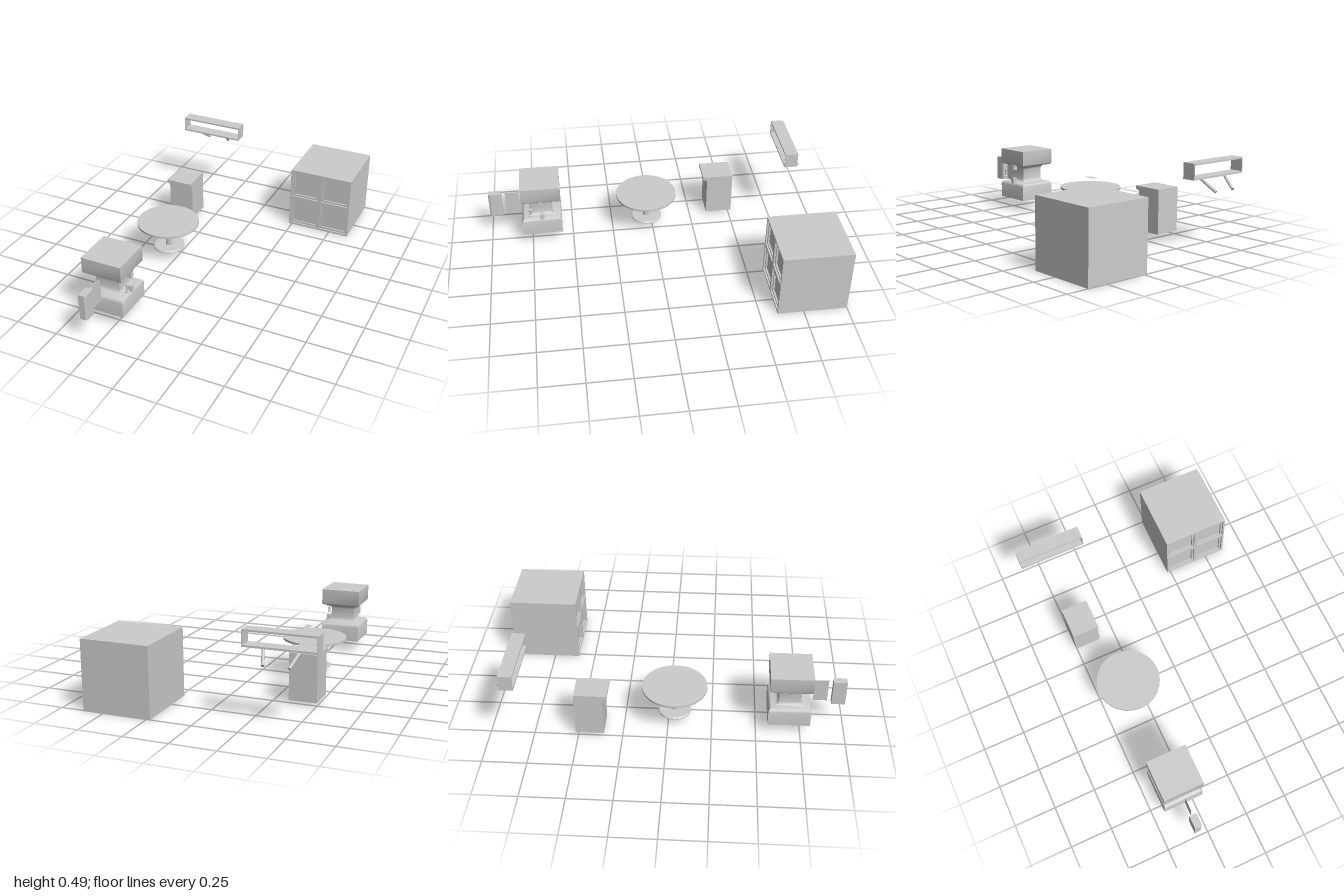
import * as THREE from 'three';
import { toCreasedNormals } from 'three/addons/utils/BufferGeometryUtils.js';

const flat = new THREE.MeshStandardMaterial({ color: 0xcccccc });
const thin = new THREE.MeshStandardMaterial({ color: 0xcccccc, side: THREE.DoubleSide });

function add(parent, name, geometry, x = 0, y = 0, z = 0, material = flat) {
  const mesh = new THREE.Mesh(geometry, material);
  mesh.name = name;
  mesh.position.set(x, y, z);
  parent.add(mesh);
  return mesh;
}

// Box given by its limits on each axis
function box(parent, name, x0, x1, y0, y1, z0, z1) {
  return add(parent, name, new THREE.BoxGeometry(x1 - x0, y1 - y0, z1 - z0),
    (x0 + x1) / 2, (y0 + y1) / 2, (z0 + z1) / 2);
}

function group(parent, name) {
  const g = new THREE.Group();
  g.name = name;
  parent.add(g);
  return g;
}

function rect(Type, cx, cy, w, h) {
  const [a, b] = [w / 2, h / 2];
  return new Type([[-a, -b], [a, -b], [a, b], [-a, b]].map(([x, y]) => new THREE.Vector2(cx + x, cy + y)));
}

function extrude(shape, depth) {
  return new THREE.ExtrudeGeometry(shape, { depth, bevelEnabled: false });
}

// Round profile of [radius, y] pairs
function turned(points, sides) {
  const g = new THREE.LatheGeometry(points.map(([r, y]) => new THREE.Vector2(r, y)), sides);
  return toCreasedNormals(g, 0.6);
}

// Rectangular sections [y, halfX, halfZ] joined from bottom to top
function loft(sections) {
  const pos = [];
  const rings = sections.map(([y, a, b]) => [[a, y, b], [a, y, -b], [-a, y, -b], [-a, y, b]]);
  const quad = (a, b, c, d) => pos.push(...a, ...b, ...c, ...a, ...c, ...d);
  for (let i = 0; i < rings.length - 1; i++) {
    const [lo, hi] = [rings[i], rings[i + 1]];
    for (let k = 0; k < 4; k++) {
      const n = (k + 1) % 4;
      quad(lo[k], lo[n], hi[n], hi[k]);
    }
  }
  quad(...rings[rings.length - 1]);
  quad(...[...rings[0]].reverse());
  const g = new THREE.BufferGeometry();
  g.setAttribute('position', new THREE.Float32BufferAttribute(pos, 3));
  g.computeVertexNormals();
  return toCreasedNormals(g, 0.75);
}

function strut(parent, name, from, to, radius) {
  const a = new THREE.Vector3(...from), b = new THREE.Vector3(...to);
  const mid = a.clone().add(b).multiplyScalar(0.5);
  const mesh = add(parent, name, new THREE.CylinderGeometry(radius, radius, a.distanceTo(b), 8), mid.x, mid.y, mid.z);
  mesh.quaternion.setFromUnitVectors(new THREE.Vector3(0, 1, 0), b.sub(a).normalize());
}

function buildCabinet(root) {
  const g = group(root, 'cabinet');
  box(g, 'cabinetBody', 0.23, 0.62, 0, 0.39, -1, -0.62);
  // Two stepped frames give each of the four panels a double rim
  [['innerPanelRim', 0.15, -0.62], ['cabinetFrontFrame', 0.173, -0.61]].forEach(([name, size, z]) => {
    const shape = rect(THREE.Shape, 0.425, 0.195, 0.39, 0.39);
    for (const sx of [-1, 1]) for (const sy of [-1, 1]) {
      shape.holes.push(rect(THREE.Path, 0.425 + sx * 0.097, 0.195 + sy * 0.097, size, size));
    }
    add(g, name, extrude(shape, 0.01), 0, 0, z);
  });
}

function buildShelf(root) {
  const g = group(root, 'wallShelf');
  const cx = -0.424;
  // Open rectangular tube
  const shape = rect(THREE.Shape, cx, 0.448, 0.396, 0.09);
  shape.holes.push(rect(THREE.Path, cx, 0.448, 0.386, 0.07));
  add(g, 'shelfFrame', extrude(shape, 0.078), 0, 0, -0.887);
  // Splayed struts with mounting feet
  for (const s of [-1, 1]) {
    add(g, 'strutFoot', new THREE.CylinderGeometry(0.02, 0.014, 0.009, 16), cx + s * 0.096, 0.399, -0.845);
    strut(g, 'strut', [cx + s * 0.096, 0.397, -0.845], [cx + s * 0.068, 0.332, -0.93], 0.009);
  }
}

function buildBin(root) {
  // Side profile with an overhanging front lip
  const profile = [[0.355, 0.02], [0.515, 0.02], [0.515, 0.284], [0.33, 0.284], [0.33, 0.266], [0.355, 0.256]];
  const geo = extrude(new THREE.Shape(profile.map(([x, y]) => new THREE.Vector2(x, y))), 0.158);
  geo.rotateY(Math.PI / 2);
  add(root, 'bin', geo, -0.504, 0, 0);
}

function buildTable(root) {
  const g = group(root, 'roundTable');
  g.position.set(-0.314, 0, 0.035);
  add(g, 'tableTop', turned([[0, 0.217], [0.185, 0.217], [0.185, 0.23], [0, 0.23]], 48));
  add(g, 'tablePedestal', turned([[0, 0.055], [0.094, 0.055], [0.094, 0.061], [0.088, 0.066], [0.019, 0.066],
    [0.019, 0.206], [0.053, 0.209], [0.053, 0.217]], 40));

  // Thin rounded card held above the table
  const [a, b, r] = [0.019, 0.044, 0.009];
  const s = new THREE.Shape();
  s.absarc(a - r, b - r, r, 0, Math.PI / 2);
  s.absarc(r - a, b - r, r, Math.PI / 2, Math.PI);
  s.absarc(r - a, r - b, r, Math.PI, Math.PI * 1.5);
  s.absarc(a - r, r - b, r, Math.PI * 1.5, Math.PI * 2);
  add(root, 'card', new THREE.ShapeGeometry(s, 6).rotateX(-Math.PI / 2), -0.281, 0.294, -0.005, thin);
}

function buildMachine(root) {
  const g = group(root, 'machine');
  // Square base and head joined by a narrow coved neck
  add(g, 'machineBody', loft([
    [0.068, 0.12, 0.119], [0.158, 0.12, 0.119], [0.168, 0.117, 0.116], [0.175, 0.109, 0.108],
    [0.178, 0.098, 0.094], [0.182, 0.083, 0.076], [0.19, 0.075, 0.066], [0.202, 0.072, 0.062],
    [0.264, 0.072, 0.062], [0.276, 0.075, 0.066], [0.284, 0.083, 0.076], [0.288, 0.098, 0.094],
    [0.291, 0.109, 0.108], [0.297, 0.117, 0.116], [0.303, 0.12, 0.119], [0.393, 0.12, 0.119],
  ]), -0.313, 0, 0.683);

  // Brackets and spool on the left side
  box(g, 'upperBracket', -0.221, -0.194, 0.26, 0.295, 0.668, 0.695);
  box(g, 'lowerBracket', -0.221, -0.194, 0.17, 0.205, 0.668, 0.695);
  add(g, 'spool', turned([[0, 0.207], [0.011, 0.207], [0.011, 0.213], [0.006, 0.218],
    [0.006, 0.246], [0.011, 0.251], [0.011, 0.257], [0, 0.257]], 16), -0.189, 0, 0.747);

  // Thin upright plate in front
  add(g, 'frontPlate', new THREE.PlaneGeometry(0.08, 0.142).rotateY(Math.PI / 2), -0.313, 0.231, 0.857, thin);

  // Front block with chamfered edges on one side
  const outline = [[-0.335, -0.997], [-0.299, -0.997], [-0.292, -0.988], [-0.292, -0.929], [-0.299, -0.92], [-0.335, -0.92]];
  const geo = extrude(new THREE.Shape(outline.map(([x, y]) => new THREE.Vector2(x, y))), 0.153);
  add(g, 'frontBlock', geo.rotateX(-Math.PI / 2), 0, 0.153, 0);
}

export function createModel() {
  const root = new THREE.Group();
  root.name = 'furnitureSet';
  buildCabinet(root);
  buildShelf(root);
  buildBin(root);
  buildTable(root);
  buildMachine(root);
  return root;
}
